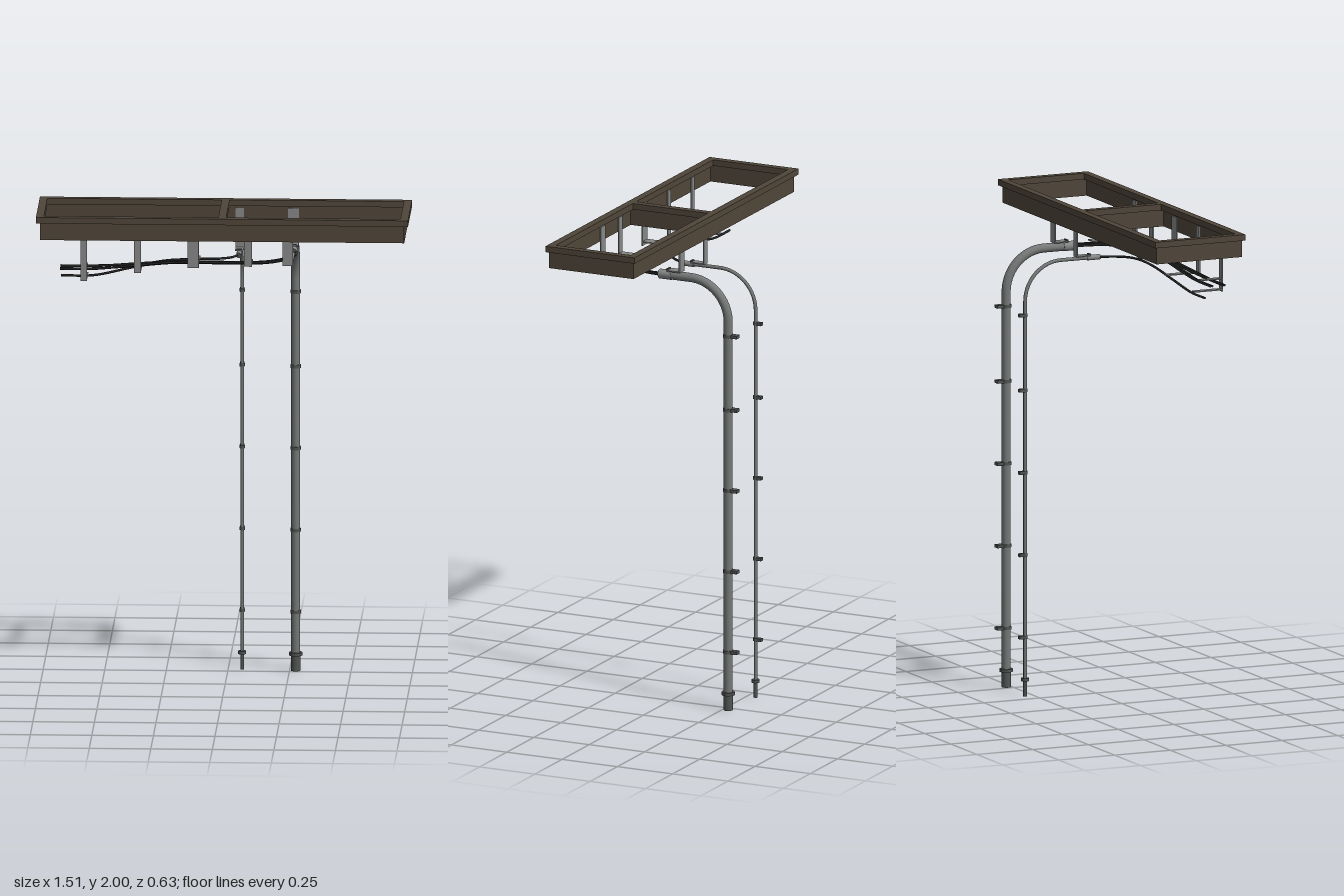
import * as THREE from 'three';

export function createModel() {
  const root = new THREE.Group();
  const mat = (name, color, side = THREE.FrontSide) => {
    const m = new THREE.MeshStandardMaterial({ color, side });
    m.name = name;
    return m;
  };
  const brown = mat('brown frame', 0x50463a);
  const grey = mat('galvanised plate', 0x868887);
  const pipeGrey = mat('pipe grey', 0x767978);
  const dark = mat('dark fitting', 0x525554);
  const black = mat('cable black', 0x222222);

  const add = (name, geo, m, parent = root) => {
    const mesh = new THREE.Mesh(geo, m);
    mesh.name = name;
    parent.add(mesh);
    return mesh;
  };
  // Box given by its minimum and maximum corners
  const box = (name, x0, x1, y0, y1, z0, z1, m, parent) => {
    const b = add(name, new THREE.BoxGeometry(x1 - x0, y1 - y0, z1 - z0), m, parent);
    b.position.set((x0 + x1) / 2, (y0 + y1) / 2, (z0 + z1) / 2);
    return b;
  };
  const V = (x, y, z) => new THREE.Vector3(x, y, z);

  // Rectangular ring lying flat, extruded upwards
  const ring = (name, x, z0, z1, t, y0, y1) => {
    const s = new THREE.Shape([[-x, -z1], [x, -z1], [x, -z0], [-x, -z0]]
      .map(p => new THREE.Vector2(...p)));
    s.holes.push(new THREE.Path([[-x + t, -z1 + t], [-x + t, -z0 - t], [x - t, -z0 - t], [x - t, -z1 + t]]
      .map(p => new THREE.Vector2(...p))));
    const g = new THREE.ExtrudeGeometry(s, { depth: y1 - y0, bevelEnabled: false });
    g.rotateX(-Math.PI / 2);
    g.translate(0, y0, 0);
    add(name, g, brown);
  };

  // Overhead frame of flanged beams with one cross beam
  ring('frameFlange', 0.756, -0.085, 0.317, 0.032, 1.975, 2.0);
  ring('frameWeb', 0.74, -0.073, 0.309, 0.008, 1.905, 1.975);
  box('crossBeamFlange', -0.016, 0.016, 1.975, 2.0, -0.054, 0.286, brown);
  box('crossBeamWeb', -0.004, 0.004, 1.905, 1.975, -0.066, 0.302, brown);

  // Hangers: vertical strap on the front beam with trays reaching back
  const T = 0.005;
  [
    { x: -0.562, w: 0.026, trays: [[1.742, 0.175], [1.787, 0.2]], low: 1.735 },
    { x: -0.344, w: 0.028, trays: [[1.775, 0.155]], low: 1.77 },
    { x: -0.118, w: 0.046, trays: [[1.808, 0.14]], low: 1.792 },
    { x: 0.105, w: 0.034, trays: [[1.812, 0.22]], low: 1.8 },
    { x: 0.267, w: 0.042, trays: [[1.815, 0.1]], low: 1.805 },
  ].forEach(({ x, w, trays, low }) => {
    const g = new THREE.Group();
    g.name = 'frontHanger';
    root.add(g);
    box('hangerStrap', x - w / 2, x + w / 2, low, 1.965, 0.301 - T, 0.301, grey, g);
    for (const [y, z] of trays)
      box('hangerTray', x - w / 2, x + w / 2, y - T / 2, y + T / 2, z, 0.301, grey, g);
  });

  // Pipe drops: riser, bend, coupling, collar, wall clips and back hanger
  const pipeDrop = (x, z, r, yTop, bend, zEnd, fit, w) => {
    const g = new THREE.Group();
    g.name = 'pipeDrop';
    root.add(g);
    const path = new THREE.CurvePath();
    const k = bend * 0.4477;
    path.add(new THREE.LineCurve3(V(x, 0.06, z), V(x, yTop - bend, z)));
    path.add(new THREE.CubicBezierCurve3(V(x, yTop - bend, z), V(x, yTop - k, z),
      V(x, yTop, z + k), V(x, yTop, z + bend)));
    path.add(new THREE.LineCurve3(V(x, yTop, z + bend), V(x, yTop, zEnd)));
    add('pipe', new THREE.TubeGeometry(path, 160, r, 18), pipeGrey, g);
    add('pipeFoot', new THREE.CylinderGeometry(r * 1.04, r * 1.04, 0.066, 18), dark, g).position.set(x, 0.033, z);
    add('footCollar', new THREE.CylinderGeometry(r + 0.009, r + 0.009, 0.012, 18), dark, g).position.set(x, 0.07, z);
    for (const y of [0.245, 0.585, 0.925, 1.265, 1.575]) {
      add('clipRing', new THREE.CylinderGeometry(r + 0.003, r + 0.003, 0.013, 18), dark, g).position.set(x, y, z);
      const h = Math.max(r, 0.012) * 0.75;
      box('clipBase', x - h, x + h, y - 0.0065, y + 0.0065, -0.318, z - r * 0.6, dark, g);
    }
    // Horizontal coupling where the cables enter
    const c = add('coupling', new THREE.CylinderGeometry(fit, fit, 0.055, 18), grey, g);
    c.rotation.x = Math.PI / 2;
    c.position.set(x, yTop, zEnd);
    const end = add('couplingSeal', new THREE.CylinderGeometry(fit * 0.8, fit * 0.8, 0.006, 18), dark, g);
    end.rotation.x = Math.PI / 2;
    end.position.set(x, yTop, zEnd + 0.028);
    // Strap from the back beam with a saddle over the pipe
    const top = yTop + r;
    box('backHangerStrap', x - w / 2, x + w / 2, top, 1.965, -0.065, -0.065 + T, grey, g);
    box('backHangerTray', x - w / 2, x + w / 2, top, top + T, -0.065, -0.005, grey, g);
    box('saddle', x - w / 3, x + w / 3, top + T, top + T + 0.005, -0.008, 0.0, dark, g);
  };
  pipeDrop(0.275, -0.273, 0.0185, 1.8, 0.168, 0.008, 0.02, 0.044);
  pipeDrop(0.057, -0.29, 0.0075, 1.79, 0.16, 0.015, 0.011, 0.034);

  // Cables follow smooth paths from the loose ends to the couplings
  const cable = (points, r) => add('cable',
    new THREE.TubeGeometry(new THREE.CatmullRomCurve3(points.map(p => V(...p))), 90, r, 8), black);
  const capEnd = (x, y, z, r) => {
    const c = add('cableEnd', new THREE.CircleGeometry(r, 8), black);
    c.rotation.y = -Math.PI / 2;
    c.position.set(x, y, z);
  };
  cable([[-0.66, 1.732, 0.18], [-0.53, 1.733, 0.18], [-0.38, 1.762, 0.166], [-0.24, 1.79, 0.152],
    [-0.1, 1.797, 0.147], [-0.02, 1.795, 0.128], [0.03, 1.792, 0.085], [0.057, 1.79, 0.025]], 0.005);
  capEnd(-0.66, 1.732, 0.18, 0.005);

  [[0.206, -0.012], [0.214, -0.004], [0.261, 0.004], [0.269, 0.012]].forEach(([z, o], i) => {
    const r = 0.0048;
    const dy = i % 2 ? 0.002 : -0.002;
    cable([[-0.66, 1.778, z], [-0.52, 1.779, z], [-0.36, 1.79 + dy, z * 0.5 + (0.235 + o) * 0.5],
      [-0.2, 1.802 + dy, 0.235 + o], [0, 1.802 + dy, 0.235 + o], [0.12, 1.802 + dy, 0.235 + o],
      [0.19 + o * 0.5, 1.802 + dy, 0.212 + o], [0.25 + o, 1.801 + dy, 0.15 + o * 0.5],
      [0.275 + o, 1.8 + dy, 0.08], [0.275 + o, 1.8 + dy, 0.03]], r);
    capEnd(-0.66, 1.778, z, r);
  });

  return root;
}
